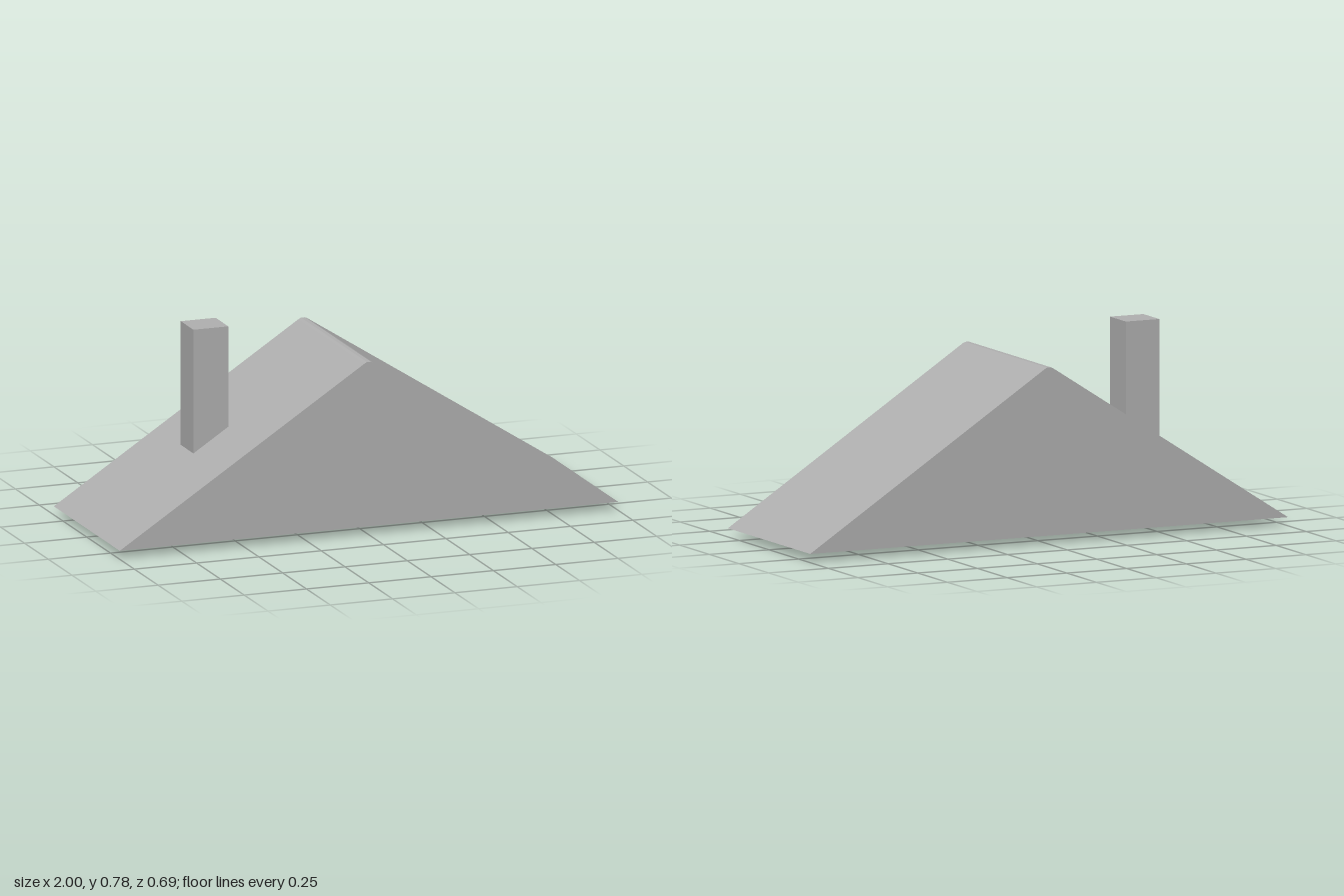
import * as THREE from 'three';

export function createModel() {
  const model = new THREE.Group();
  const grey = new THREE.MeshStandardMaterial({ color: 0xb0b0b0 });
  grey.name = 'plain grey';

  // Solid gable roof: triangular section with a softly rounded ridge
  const base = 0.033, depth = 0.694;
  const section = new THREE.Shape();
  section.moveTo(-1, base);
  section.lineTo(1, base);
  section.lineTo(0.018, 0.666);
  section.lineTo(0.008, 0.671);
  section.lineTo(-0.008, 0.671);
  section.lineTo(-0.018, 0.666);
  section.closePath();
  const roofGeometry = new THREE.ExtrudeGeometry(section, { depth, bevelEnabled: false });
  roofGeometry.translate(0, 0, -depth / 2);
  const roof = new THREE.Mesh(roofGeometry, grey);
  roof.name = 'roof';
  model.add(roof);

  // Chimney running through the roof and just out below it
  const height = 0.777;
  const chimney = new THREE.Mesh(new THREE.BoxGeometry(0.14, height, 0.134), grey);
  chimney.name = 'chimney';
  chimney.position.set(-0.52, height / 2, -0.02);
  model.add(chimney);

  return model;
}
